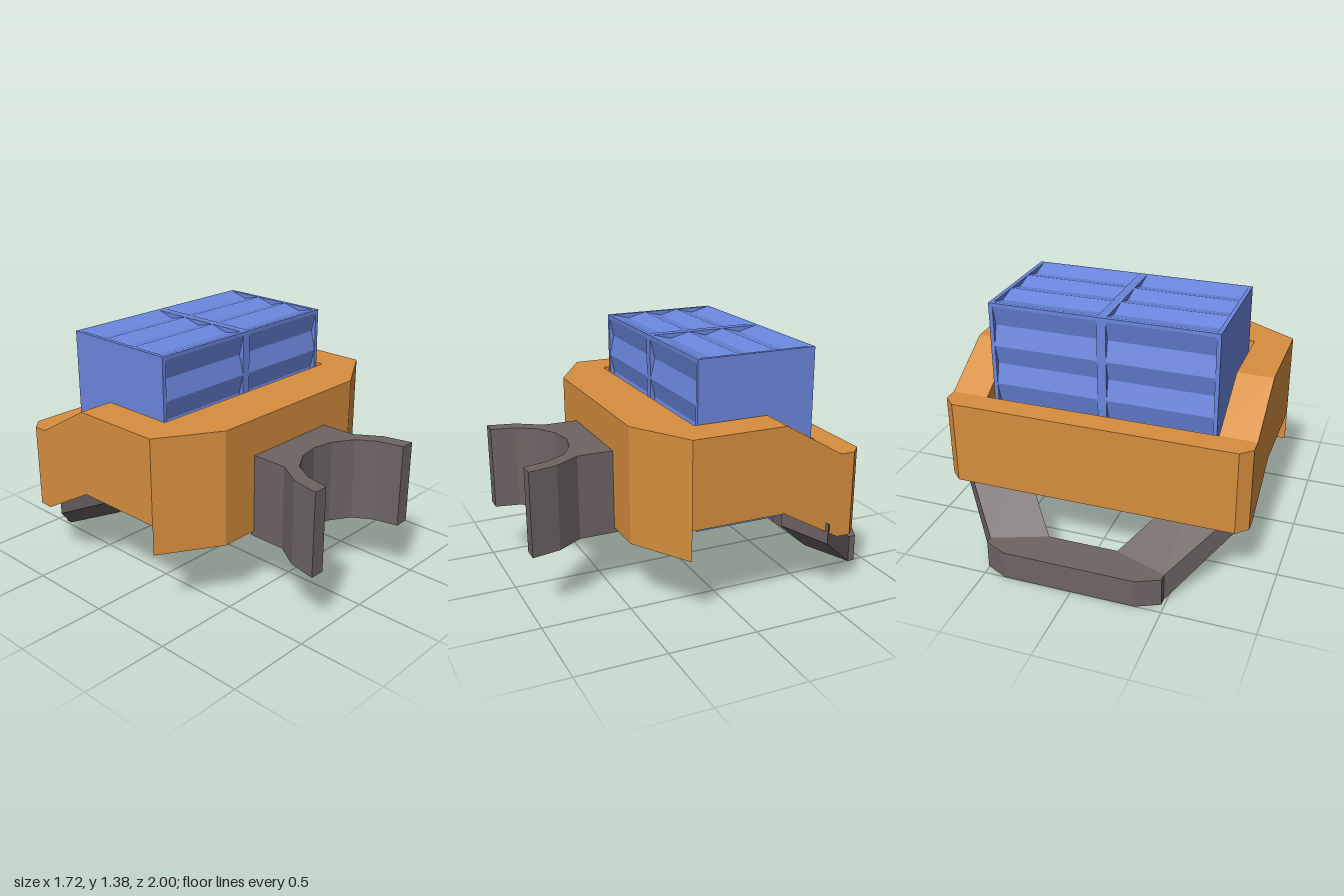
import * as THREE from 'three';
import { ConvexGeometry } from 'three/addons/geometries/ConvexGeometry.js';

const paint = (color) => new THREE.MeshStandardMaterial({ color, flatShading: true });
const orange = paint(0xd68e3e);
const blue = paint(0x6a86dd);
const grey = paint(0x6e6464);

function add(parent, name, geometry, material) {
  const mesh = new THREE.Mesh(geometry, material);
  mesh.name = name;
  parent.add(mesh);
  return mesh;
}

// Plan outline of [x, z] points, raised from y0 to y1
function planSolid(points, y0, y1) {
  const shape = new THREE.Shape(points.map(([x, z]) => new THREE.Vector2(x, -z)));
  return new THREE.ExtrudeGeometry(shape, { depth: y1 - y0, bevelEnabled: false })
    .rotateX(-Math.PI / 2).translate(0, y0, 0);
}

// Side outline of [z, y] points, swept from x0 to x1
function sideSolid(points, x0, x1) {
  const shape = new THREE.Shape(points.map(([z, y]) => new THREE.Vector2(-z, y)));
  return new THREE.ExtrudeGeometry(shape, { depth: x1 - x0, bevelEnabled: false })
    .rotateY(Math.PI / 2).translate(x0, 0, 0);
}

function boxSolid(x0, x1, y0, y1, z0, z1) {
  return new THREE.BoxGeometry(x1 - x0, y1 - y0, z1 - z0)
    .translate((x0 + x1) / 2, (y0 + y1) / 2, (z0 + z1) / 2);
}

// Half outline completed by reflection about x = cx
function mirrored(half, cx) {
  return [
    ...half.map(([x, z]) => [cx + x, z]),
    ...half.slice().reverse().filter(([x]) => x > 0).map(([x, z]) => [cx - x, z]),
  ];
}

// Frame around the crate: two cranked sides, deep front, lowered back
function makeFrame() {
  const frame = new THREE.Group();
  frame.name = 'frame';
  const side = [[0.3, 0.56], [-0.23, 0.56], [-0.57, 0.365], [-0.57, 0.84], [-0.23, 1.04], [0.3, 1.04]];
  add(frame, 'frameRightSide', sideSolid(side, -0.86, -0.66), orange);
  add(frame, 'frameLeftSide', sideSolid(side, 0.64, 0.845), orange);
  add(frame, 'frameFrontInner', boxSolid(-0.66, 0.64, 0.56, 1.04, 0.195, 0.3), orange);
  add(frame, 'frameFront', planSolid(mirrored([[0.8525, 0.3], [0.52, 0.5]], -0.0075), 0.39, 1.04), orange);
  add(frame, 'frameBack',
    planSolid(mirrored([[0.8525, -0.57], [0.8525, -0.65], [0.79, -0.71]], -0.0075), 0.365, 0.84), orange);
  return frame;
}

// Crate with zigzag panels between flat end plates and a middle divider
function makeCrate() {
  const crate = new THREE.Group();
  crate.name = 'crate';
  const [z0, z1, y0, y1, rim, depth] = [-0.52, 0.165, 0.44, 1.375, 0.02, 0.028];
  const outline = [];
  // Each edge: start corner, direction along it, length, inward direction, fold count
  const edges = [
    [z0, y0, 1, 0, z1 - z0, 0, 1, 6],
    [z1, y0, 0, 1, y1 - y0, -1, 0, 8],
    [z1, y1, -1, 0, z1 - z0, 0, -1, 6],
    [z0, y1, 0, -1, y1 - y0, 1, 0, 8],
  ];
  for (const [z, y, dz, dy, length, nz, ny, folds] of edges) {
    outline.push([z, y]);
    for (let i = 0; i <= folds; i++) {
      const t = rim + (length - 2 * rim) * i / folds;
      const d = i % 2 ? depth : 0;
      outline.push([z + dz * t + nz * d, y + dy * t + ny * d]);
    }
  }
  add(crate, 'rightPanels', sideSolid(outline, -0.615, -0.035), blue);
  add(crate, 'leftPanels', sideSolid(outline, 0.015, 0.597), blue);
  for (const [name, x0, x1] of [
    ['rightEndPlate', -0.637, -0.615], ['divider', -0.035, 0.015], ['leftEndPlate', 0.597, 0.62],
  ]) add(crate, name, boxSolid(x0, x1, y0, y1, z0, z1), blue);
  return crate;
}

// Curved two-pronged clamp on the front
function makeClamp() {
  const half = [
    [0.295, 0.48], [0.295, 0.7], [0.385, 0.84], [0.42, 1], [0.335, 1],
    [0.307, 0.865], [0.24, 0.755], [0.125, 0.685], [0, 0.66],
  ];
  const clamp = new THREE.Group();
  clamp.name = 'clamp';
  add(clamp, 'clampJaws', planSolid(mirrored(half, -0.015), 0.36, 0.835), grey);
  return clamp;
}

// Low rear handle: crossbar and two arms sloping up under the frame
function makeHandle() {
  const handle = new THREE.Group();
  handle.name = 'handle';
  const cx = 0.012;
  const half = [[0.198, -0.785], [0.495, -0.9], [0.495, -0.94], [0.37, -1]];
  add(handle, 'handleBar', planSolid(mirrored(half, cx), 0, 0.16), grey);
  for (const s of [-1, 1]) {
    const corners = [
      [0.495, 0, -0.9], [0.198, 0, -0.785], [0.495, 0.16, -0.9], [0.198, 0.16, -0.785],
      [0.85, 0.34, -0.5], [0.535, 0.34, -0.4], [0.85, 0.46, -0.5], [0.535, 0.46, -0.4],
    ].map(([x, y, z]) => new THREE.Vector3(cx + s * x, y, z));
    add(handle, s > 0 ? 'leftHandleArm' : 'rightHandleArm', new ConvexGeometry(corners), grey);
  }
  return handle;
}

export function createModel() {
  const model = new THREE.Group();
  model.name = 'cratedCarrier';
  model.add(makeFrame(), makeCrate(), makeClamp(), makeHandle());
  return model;
}
